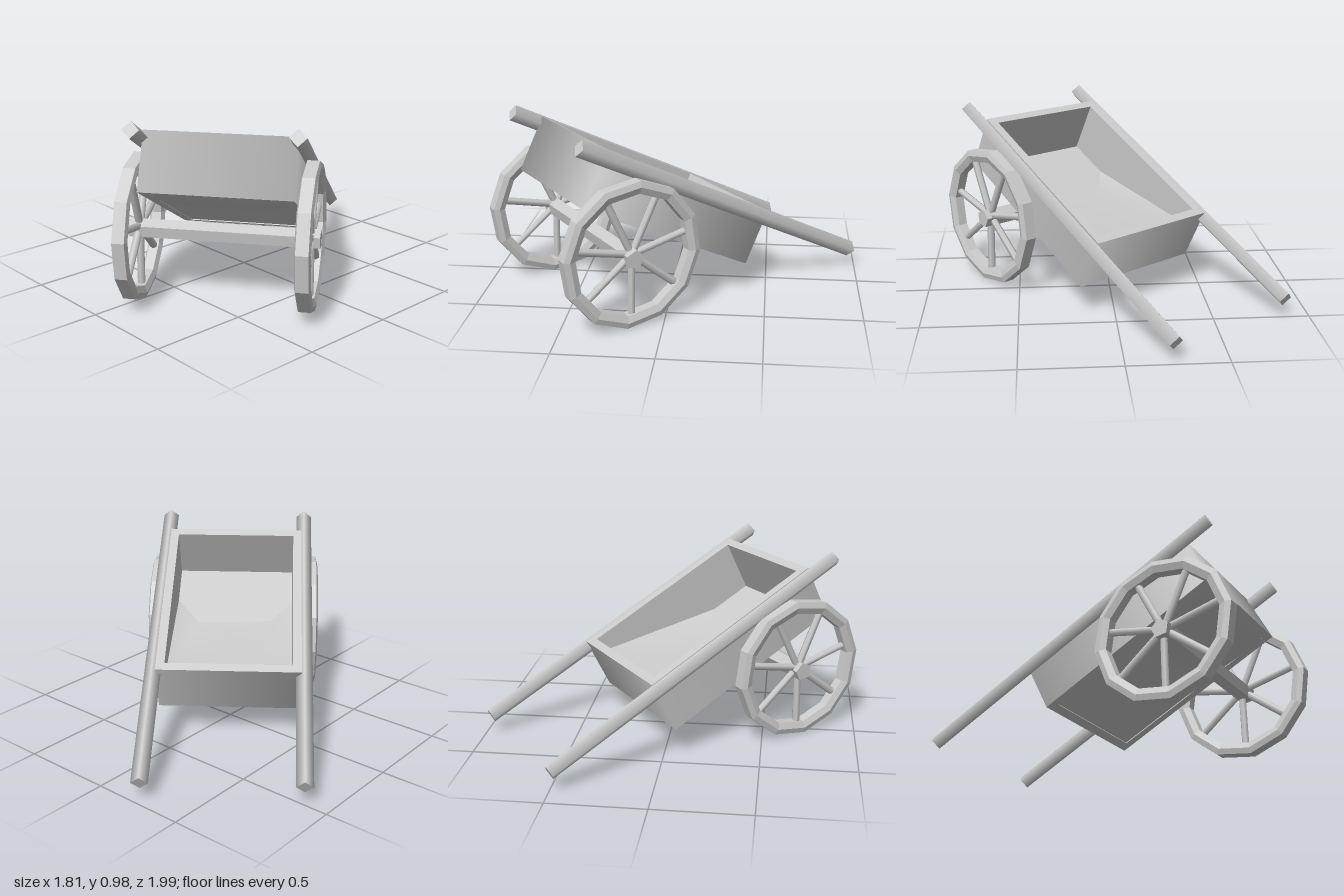
import * as THREE from 'three';

const smooth = new THREE.MeshStandardMaterial({ color: 0xcccccc });
const flat = new THREE.MeshStandardMaterial({ color: 0xcccccc, flatShading: true });
const sheet = new THREE.MeshStandardMaterial({ color: 0xcccccc, side: THREE.DoubleSide });
const inside = new THREE.MeshStandardMaterial({ color: 0xcccccc, flatShading: true, side: THREE.BackSide });

function add(parent, name, geometry, material) {
  const mesh = new THREE.Mesh(geometry, material);
  mesh.name = name;
  parent.add(mesh);
  return mesh;
}

// Open four-sided wall ring: width in x, height in y, depth in z
const wallRing = (w, h, d) =>
  new THREE.CylinderGeometry(Math.SQRT1_2, Math.SQRT1_2, h, 4, 1, true).rotateY(Math.PI / 4).scale(w, 1, d);

function rectangle(target, w, d) {
  target.moveTo(-w / 2, -d / 2);
  target.lineTo(w / 2, -d / 2);
  target.lineTo(w / 2, d / 2);
  target.lineTo(-w / 2, d / 2);
  target.closePath();
  return target;
}

function makeBox() {
  const box = new THREE.Group();
  box.name = 'cargoBox';
  const W = 0.76, D = 1.06, H = 0.307, wall = 0.047;
  const midY = 0.278, midZ = -0.217;
  const iw = W - 2 * wall, id = D - 2 * wall;

  const walls = new THREE.Group();
  walls.name = 'walls';
  walls.position.set(0, midY, midZ);
  add(walls, 'outerWalls', wallRing(W, H, D), smooth);
  add(walls, 'innerWalls', wallRing(iw, H, id), inside);
  const rim = rectangle(new THREE.Shape(), W, D);
  rim.holes.push(rectangle(new THREE.Path(), iw, id));
  for (const s of [1, -1]) {
    const edge = new THREE.ShapeGeometry(rim).rotateX(-s * Math.PI / 2).translate(0, s * H / 2, 0);
    add(walls, s > 0 ? 'topRim' : 'bottomRim', edge, flat);
  }
  box.add(walls);

  // Flat bottom board, just inside the lower rim
  const board = new THREE.PlaneGeometry(iw, id).rotateX(-Math.PI / 2).translate(0, 0.13, midZ);
  add(box, 'bottomBoard', board, sheet);

  // Load surface: slopes down from the back and dips through the board at the front
  const e = iw / 2, back = midZ - id / 2, front = midZ + id / 2;
  const load = new THREE.BufferGeometry();
  load.setAttribute('position', new THREE.Float32BufferAttribute([
    -e, 0.32, back, e, 0.345, back,
    -0.21, 0.13, -0.13, 0.2, 0.13, -0.15,
    -e, 0.13, 0.02, e, 0.13, 0.02,
    -e, 0.115, front, e, 0.115, front,
  ], 3));
  load.setIndex([0, 2, 1, 1, 2, 3, 0, 4, 2, 1, 3, 5, 2, 4, 6, 2, 6, 3, 3, 6, 7, 3, 7, 5]);
  load.computeVertexNormals();
  add(box, 'loadSurface', load, sheet);
  return box;
}

function makeWheel(name) {
  const wheel = new THREE.Group();
  wheel.name = name;
  // Rim with bevelled sides
  const profile = [
    [0.38, -0.031], [0.38, 0.031], [0.35, 0.04], [0.315, 0.026],
    [0.315, -0.026], [0.35, -0.04], [0.38, -0.031],
  ].map(p => new THREE.Vector2(...p));
  const rim = new THREE.LatheGeometry(profile, 12).rotateZ(-Math.PI / 2).rotateX(-0.17);
  add(wheel, 'wheelRim', rim, flat);
  for (let i = 0; i < 7; i++) {
    const spoke = new THREE.CylinderGeometry(0.02, 0.02, 0.33, 6).translate(0, 0.165, 0);
    add(wheel, 'spoke', spoke, smooth).rotation.x = i * 2 * Math.PI / 7;
  }
  return wheel;
}

export function createModel() {
  const model = new THREE.Group();
  model.name = 'handCart';

  // The cart is built around its axle, then turned and tipped back on its handles
  const cart = new THREE.Group();
  cart.name = 'cart';
  cart.rotation.set(-0.466, 0.6435, 0, 'YXZ');
  cart.position.set(0.305, 0.377, 0.415);
  model.add(cart);

  cart.add(makeBox());
  const axle = new THREE.CylinderGeometry(0.05, 0.05, 0.97, 5).rotateZ(Math.PI / 2);
  add(cart, 'axle', axle, flat).position.y = -0.012;

  for (const s of [1, -1]) {
    const side = s > 0 ? 'left' : 'right';
    const wheel = makeWheel(side + 'Wheel');
    wheel.position.x = s * 0.436;
    cart.add(wheel);

    // Long square pole set on edge
    const pole = new THREE.CylinderGeometry(0.043, 0.043, 1.883, 4).rotateX(Math.PI / 2);
    add(cart, side + 'Handle', pole, smooth).position.set(s * 0.395, 0.394, -0.469);
  }
  return model;
}
